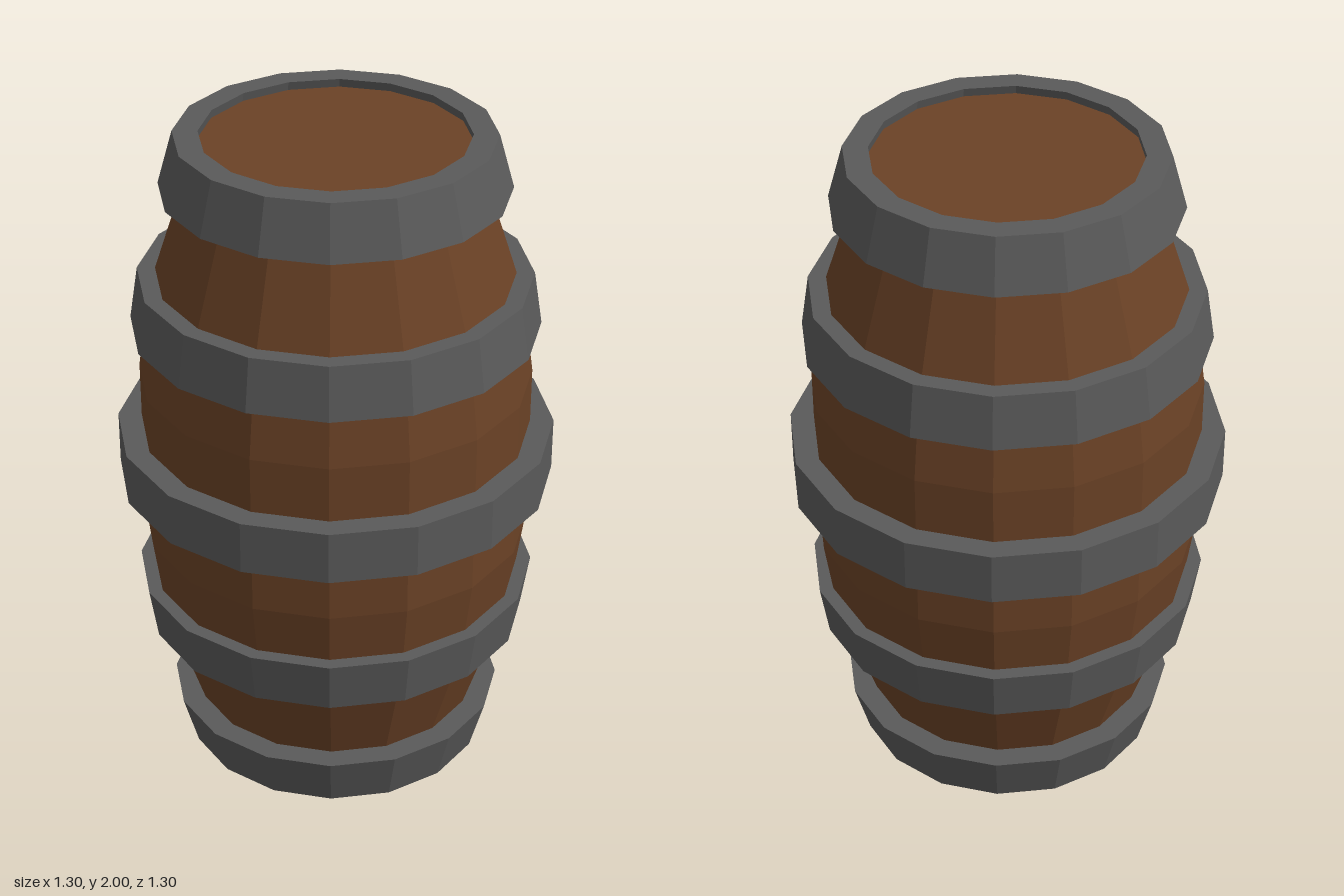
import * as THREE from 'three';

const SIDES = 16;

// Revolve a bottom-to-top [radius, y] profile into a faceted surface
function revolve(name, profile, material) {
  const points = profile.map(([r, y]) => new THREE.Vector2(r, y));
  const mesh = new THREE.Mesh(new THREE.LatheGeometry(points, SIDES), material);
  mesh.name = name;
  return mesh;
}

export function createModel() {
  const wood = new THREE.MeshStandardMaterial({ color: 0x6b4226, flatShading: true });
  wood.name = 'brownWood';
  const iron = new THREE.MeshStandardMaterial({ color: 0x5a5a5a, flatShading: true });
  iron.name = 'greyIron';

  const barrel = new THREE.Group();
  barrel.name = 'barrel';

  // Bulging wooden body, closed by lids slightly below the rims
  const half = [[0.58, 1.25], [0.545, 1.5], [0.39, 1.975], [0, 1.975]];
  const lower = half.map(([r, y]) => [r, 2 - y]).reverse();
  barrel.add(revolve('body', [...lower, ...half], wood));

  // Iron hoops: bottom y, top y, outer radii (bottom, top), inner radii (bottom, top)
  const addHoop = (name, y0, y1, out0, out1, in0, in1) => {
    const ring = [[out0, y0], [out1, y1], [in1, y1], [in0, y0], [out0, y0]];
    barrel.add(revolve(name, ring, iron));
  };
  addHoop('middleHoop', 0.92, 1.08, 0.65, 0.65, 0.57, 0.57);

  // Tapered hoops, mirrored about the middle
  const tapered = [
    ['QuarterHoop', 1.41, 1.57, 0.6, 0.575, 0.54, 0.51],
    ['RimHoop', 1.84, 2, 0.505, 0.46, 0.425, 0.387],
  ];
  for (const [name, y0, y1, out0, out1, in0, in1] of tapered) {
    addHoop('upper' + name, y0, y1, out0, out1, in0, in1);
    addHoop('lower' + name, 2 - y1, 2 - y0, out1, out0, in1, in0);
  }

  return barrel;
}
